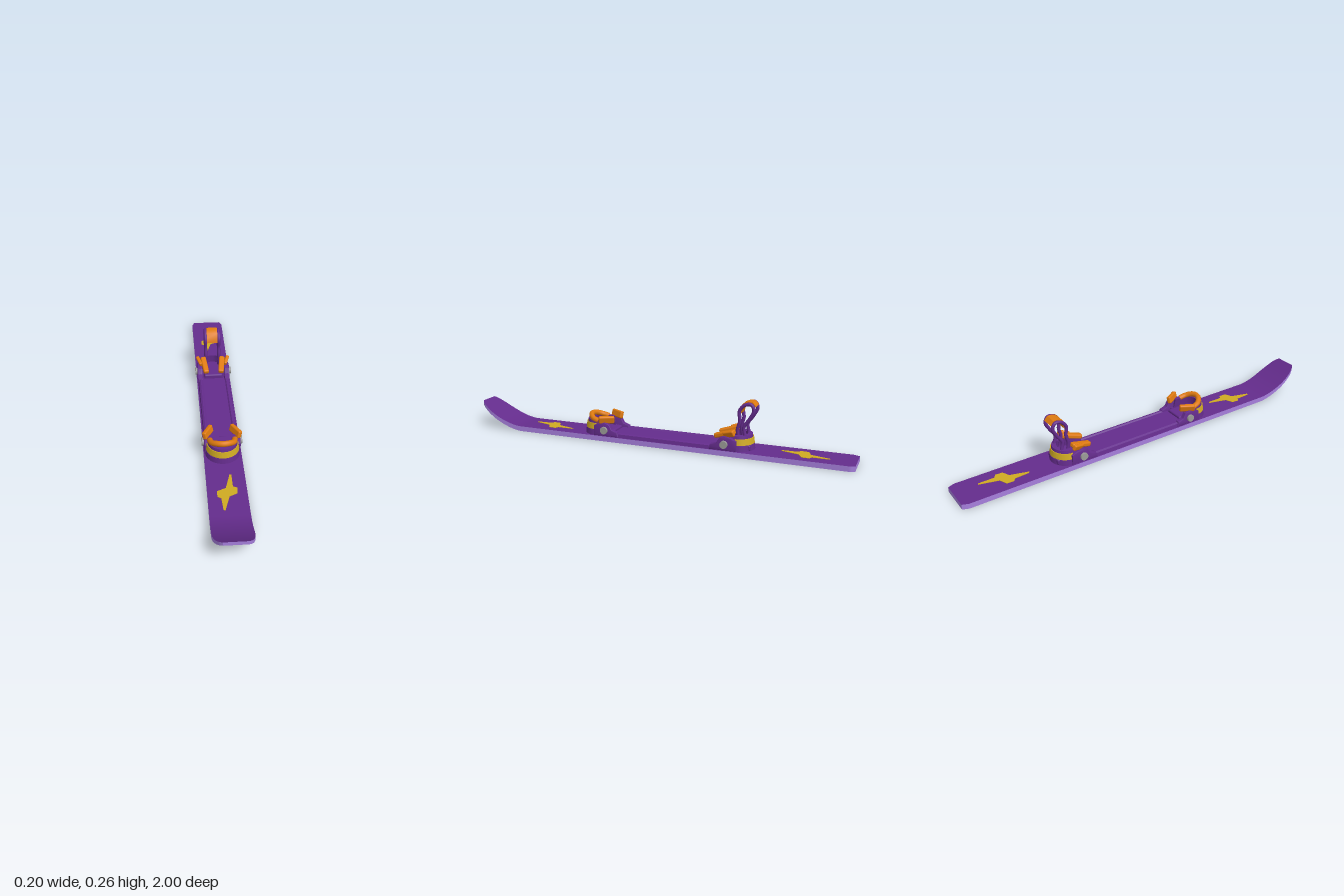
import * as THREE from 'three';
import { toCreasedNormals } from 'three/addons/utils/BufferGeometryUtils.js';
import { RoundedBoxGeometry } from 'three/addons/geometries/RoundedBoxGeometry.js';

const mat = (name, color) => {
  const m = new THREE.MeshStandardMaterial({ color });
  m.name = name;
  return m;
};

export function createModel() {
  const purple = mat('purple', 0x642c8c);
  const lilac = mat('lilac', 0xa67fdc);
  const yellow = mat('yellow', 0xcfaa22);
  const orange = mat('orange', 0xdf7b10);
  const grey = mat('grey', 0x9b9b98);

  const add = (parent, name, geo, material, pos = [0, 0, 0], rot = [0, 0, 0]) => {
    const mesh = new THREE.Mesh(geo, material);
    mesh.name = name;
    mesh.position.set(...pos);
    mesh.rotation.set(...rot);
    parent.add(mesh);
    return mesh;
  };
  const polygon = pts => new THREE.Shape(pts.map(p => new THREE.Vector2(...p)));
  const extrude = (shape, depth, bevel = 0) => new THREE.ExtrudeGeometry(shape, {
    depth: depth - 2 * bevel, bevelEnabled: bevel > 0, bevelSize: bevel, bevelOffset: -bevel,
    bevelThickness: bevel, bevelSegments: 2, curveSegments: 24,
  }).translate(0, 0, bevel);

  // Side profile of [z, y] points, extruded across x and centred on x = 0
  const sideProfile = (pts, width, bevel = 0) => toCreasedNormals(
    extrude(polygon(pts), width, bevel).rotateY(-Math.PI / 2).translate(width / 2, 0, 0), 0.7);

  // Horseshoe wall, round end toward +z, open toward -z, narrowing upward
  const horseshoe = (rx, rz, wall, back, y0, y1, taper) => {
    const s = new THREE.Shape();
    s.moveTo(rx, -back);
    s.lineTo(rx, 0);
    s.absellipse(0, 0, rx, rz, 0, Math.PI, false);
    s.lineTo(-rx, -back);
    s.lineTo(-rx + wall, -back);
    s.lineTo(-rx + wall, 0);
    s.absellipse(0, 0, rx - wall, rz - wall, Math.PI, 0, true);
    s.lineTo(rx - wall, -back);
    const h = y1 - y0;
    const g = extrude(s, h).rotateX(Math.PI / 2).translate(0, h, 0);
    const p = g.attributes.position;
    for (let i = 0; i < p.count; i++) {
      const k = 1 - taper * p.getY(i) / h;
      p.setXYZ(i, p.getX(i) * k, p.getY(i) + y0, p.getZ(i) * k);
    }
    return toCreasedNormals(g, 0.7);
  };

  // Smooth strip of quads between two point rows
  const strip = (a, b) => {
    const pos = [], idx = [];
    a.forEach((p, i) => {
      pos.push(...p, ...b[i]);
      if (i) idx.push(2 * i - 2, 2 * i, 2 * i + 1, 2 * i - 2, 2 * i + 1, 2 * i - 1);
    });
    const g = new THREE.BufferGeometry();
    g.setAttribute('position', new THREE.Float32BufferAttribute(pos, 3));
    g.setIndex(idx);
    g.computeVertexNormals();
    return g;
  };

  const model = new THREE.Group();
  model.name = 'ski';

  // Ski body: stations along z with a rising, narrowing tip
  const stations = [-1, -0.985, -0.97];
  for (let i = 0; i <= 32; i++) stations.push(0.7 + 0.3 * i / 32);
  const halfWidth = z => {
    if (z < -0.97) return 0.078 + 0.4 * (z + 1);
    const t = Math.max(0, (z - 0.87) / 0.13);
    return 0.045 + 0.045 * Math.sqrt(Math.max(0, 1 - t * t * 0.98));
  };
  const rise = z => 0.119 * Math.pow(Math.max(0, (z - 0.74) / 0.26), 1.7);
  const thick = z => 0.026 - 0.008 * Math.max(0, (z - 0.74) / 0.26);
  const edge = (side, top) => stations.map(z =>
    [side * Math.min(0.09, halfWidth(z)), rise(z) + top * thick(z), z]);
  const rt = edge(-1, 1), lt = edge(1, 1), rb = edge(-1, 0), lb = edge(1, 0);
  const n = stations.length - 1;
  add(model, 'topSheet', strip(rt, lt), purple);
  add(model, 'baseSheet', strip(lb, rb), purple);
  add(model, 'leftSidewall', strip(lt, lb), lilac);
  add(model, 'rightSidewall', strip(rb, rt), lilac);
  add(model, 'tipEdge', strip([rb[n], lb[n]], [rt[n], lt[n]]), lilac);
  add(model, 'tailEdge', strip([lb[0], rb[0]], [lt[0], rt[0]]), lilac);

  // Painted bolts
  const bolt = polygon([[0.02, -0.12], [0.028, -0.115], [0.028, -0.035], [0.047, -0.025], [0.045, 0.012],
    [0.008, 0.03], [-0.018, 0.12], [-0.026, 0.115], [-0.03, 0.04], [-0.047, 0.03], [-0.045, -0.008], [-0.005, -0.025]]);
  for (const z of [0.585, -0.76])
    add(model, 'boltDecal', extrude(bolt, 0.002).rotateX(Math.PI / 2), yellow, [0, 0.028, z]);

  // Raised plate with side rails
  const rail = [[0.085, 0.024], [0.081, 0.043], [0.072, 0.048], [0.066, 0.048], [0.06, 0.042]];
  const plate = polygon([...rail, ...rail.map(([x, y]) => [-x, y]).reverse()]);
  add(model, 'bindingPlate', toCreasedNormals(extrude(plate, 0.54), 0.4), purple, [0, 0, -0.33]);

  // Shared binding housing, round end toward local +z
  const housing = (name, z, turn, rz) => {
    const g = new THREE.Group();
    g.name = name;
    g.position.z = z;
    g.rotation.y = turn;
    add(g, 'housingSole', horseshoe(0.083, rz, 0.03, 0.07, 0.025, 0.052, 0.04), purple);
    add(g, 'housingWall', horseshoe(0.078, rz - 0.005, 0.025, 0.05, 0.05, 0.1, 0.12), purple);
    add(g, 'housingBand', horseshoe(0.08, rz - 0.003, 0.004, 0, 0.056, 0.086, 0.06), yellow);
    add(g, 'housingFloor', new RoundedBoxGeometry(0.1, 0.03, 0.16, 2, 0.008), purple, [0, 0.04, -0.01]);
    const cheek = sideProfile([[-0.13, 0.026], [-0.12, 0.052], [-0.09, 0.062], [-0.075, 0.088],
      [-0.05, 0.097], [-0.02, 0.092], [0.01, 0.078], [0.01, 0.026]], 0.028, 0.006);
    for (const s of [-1, 1]) {
      add(g, 'cheek', cheek, purple, [s * 0.073, 0, 0]);
      add(g, 'pivotScrew', new THREE.CylinderGeometry(0.019, 0.019, 0.018, 20), grey,
        [s * 0.089, 0.058, -0.05], [0, 0, Math.PI / 2]);
    }
    model.add(g);
    return g;
  };

  // Toe binding: arched cap and two angled jaws
  const toe = housing('toeBinding', 0.3, 0, 0.088);
  const capPath = new THREE.CatmullRomCurve3([[-0.06, 0.095, -0.01], [-0.052, 0.105, 0.025],
    [-0.028, 0.116, 0.048], [0, 0.119, 0.056], [0.028, 0.116, 0.048], [0.052, 0.105, 0.025],
    [0.06, 0.095, -0.01]].map(p => new THREE.Vector3(...p)));
  add(toe, 'toeCap', new THREE.TubeGeometry(capPath, 32, 0.014, 10), orange);
  for (const s of [-1, 1])
    add(toe, 'toeJaw', new RoundedBoxGeometry(0.022, 0.038, 0.08, 2, 0.007), orange,
      [s * 0.067, 0.109, -0.055], [0, s * 0.5, s * -0.25]);

  // Heel binding: sloping pedals, side jaws, two lever loops and a grip
  const heel = housing('heelBinding', -0.435, Math.PI, 0.08);
  for (const s of [-1, 1]) {
    add(heel, 'heelPedal', new RoundedBoxGeometry(0.03, 0.024, 0.11, 2, 0.008), orange,
      [s * 0.046, 0.1, -0.058], [-0.3, s * 0.12, 0]);
    add(heel, 'heelJaw', new RoundedBoxGeometry(0.018, 0.03, 0.06, 2, 0.006), orange,
      [s * 0.073, 0.108, -0.03], [-0.3, s * 0.3, s * -0.3]);
  }
  const loopPath = new THREE.CatmullRomCurve3([[-0.455, 0.06], [-0.437, 0.12], [-0.447, 0.17], [-0.443, 0.215],
    [-0.467, 0.246], [-0.5, 0.252], [-0.514, 0.225], [-0.493, 0.18], [-0.468, 0.14], [-0.475, 0.08]]
    .map(([z, y]) => new THREE.Vector3(0, y, z)), true);
  const loop = new THREE.TubeGeometry(loopPath, 64, 0.0085, 10, true);
  for (const s of [-1, 1]) add(model, 'leverLoop', loop, purple, [s * 0.036, 0, 0]);
  const grip = [[-0.435, 0.204], [-0.441, 0.23], [-0.458, 0.252], [-0.48, 0.262], [-0.505, 0.262], [-0.522, 0.243],
    [-0.51, 0.235], [-0.498, 0.247], [-0.48, 0.247], [-0.466, 0.238], [-0.456, 0.223], [-0.451, 0.204]];
  add(model, 'leverGrip', sideProfile(grip, 0.058), orange);

  return model;
}
